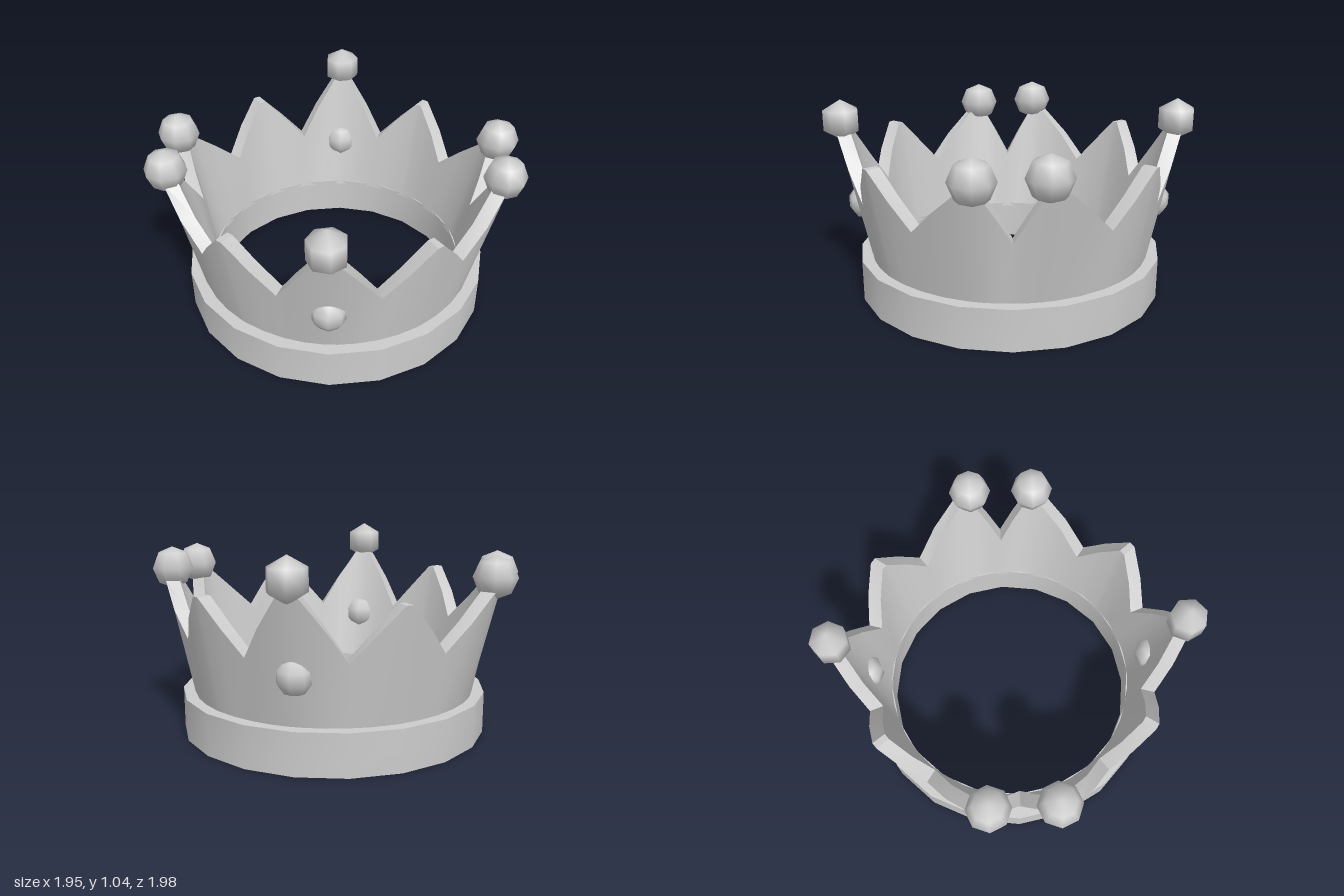
import * as THREE from 'three';
import { toCreasedNormals } from 'three/addons/utils/BufferGeometryUtils.js';

const deg = Math.PI / 180;
const metal = new THREE.MeshStandardMaterial({ color: 0xcccccc });
metal.name = 'pale grey metal';

// Closed ring from columns { angle, section: four [radius, y] points }
function ringGeometry(columns, crease) {
  const pos = [], index = [];
  const n = columns.length;
  columns.forEach(({ angle, section }, i) => {
    const s = Math.sin(angle * deg), c = Math.cos(angle * deg);
    section.forEach(([r, y], k) => {
      pos.push(r * s, y, r * c);
      const a = i * 4 + k, b = ((i + 1) % n) * 4 + k;
      const d = i * 4 + (k + 1) % 4, e = ((i + 1) % n) * 4 + (k + 1) % 4;
      index.push(a, b, e, a, e, d);
    });
  });
  const g = new THREE.BufferGeometry();
  g.setAttribute('position', new THREE.Float32BufferAttribute(pos, 3));
  g.setIndex(index);
  return toCreasedNormals(g, crease * deg);
}

export function createModel() {
  const crown = new THREE.Group();
  crown.name = 'crown';
  const add = (name, geometry, x = 0, y = 0, z = 0) => {
    const mesh = new THREE.Mesh(geometry, metal);
    mesh.name = name;
    mesh.position.set(x, y, z);
    crown.add(mesh);
    return mesh;
  };

  // Heavy band at the foot
  const band = [];
  for (let i = 0; i < 20; i++) {
    band.push({ angle: i * 18, section: [[0.825, 0], [0.825, 0.22], [0.69, 0.22], [0.69, 0]] });
  }
  add('band', ringGeometry(band, 40));

  // Flared wall cut into ten points: tall ones carry a ball
  const wall = [];
  const column = (angle, y, r) => wall.push({
    angle, section: [[0.755, 0.2], [r, y], [r - 0.075, y], [0.685, 0.2]],
  });
  const valley = { y: 0.54, r: 0.805 };
  for (let i = 0; i < 10; i++) {
    const mid = i * 36;
    const side = [2, 3, 7, 8].includes(i);
    const short = [1, 4, 6, 9].includes(i);
    const lean = side ? (i === 2 || i === 7 ? 5 : -5) : 0;
    const y = short ? 0.805 : side ? 0.8 : 0.86;
    const r = short ? 0.865 : side ? 0.9 : 0.915;
    const w = short ? 1.2 : 3;
    const left = mid + lean - w, right = mid + lean + w;
    column(mid - 18, valley.y, valley.r);
    column((mid - 18 + left) / 2, (valley.y + y) / 2, (valley.r + r) / 2);
    column(left, y, r);
    column(right, y, r);
    column((mid + 18 + right) / 2, (valley.y + y) / 2, (valley.r + r) / 2);
  }
  add('pointedWall', ringGeometry(wall, 40));

  // Faceted balls on the tall points
  const ball = new THREE.SphereGeometry(0.11, 7, 3);
  add('frontBall', ball, 0, 0.93, 0.895);
  add('backBall', ball, 0, 0.93, -0.895).rotation.y = Math.PI;
  const sideBall = new THREE.SphereGeometry(0.113, 8, 4);
  for (const sx of [-1, 1]) {
    for (const sz of [-1, 1]) {
      const name = (sz > 0 ? 'front' : 'back') + (sx > 0 ? 'Left' : 'Right') + 'Ball';
      add(name, sideBall, sx * 0.862, sz > 0 ? 0.85 : 0.865, sz * 0.17 + 0.01);
    }
  }

  // Round studs on the front and back of the wall
  const stud = new THREE.SphereGeometry(0.095, 8, 5);
  add('frontStud', stud, 0, 0.475, 0.79);
  add('backStud', stud, 0, 0.475, -0.79);
  return crown;
}
